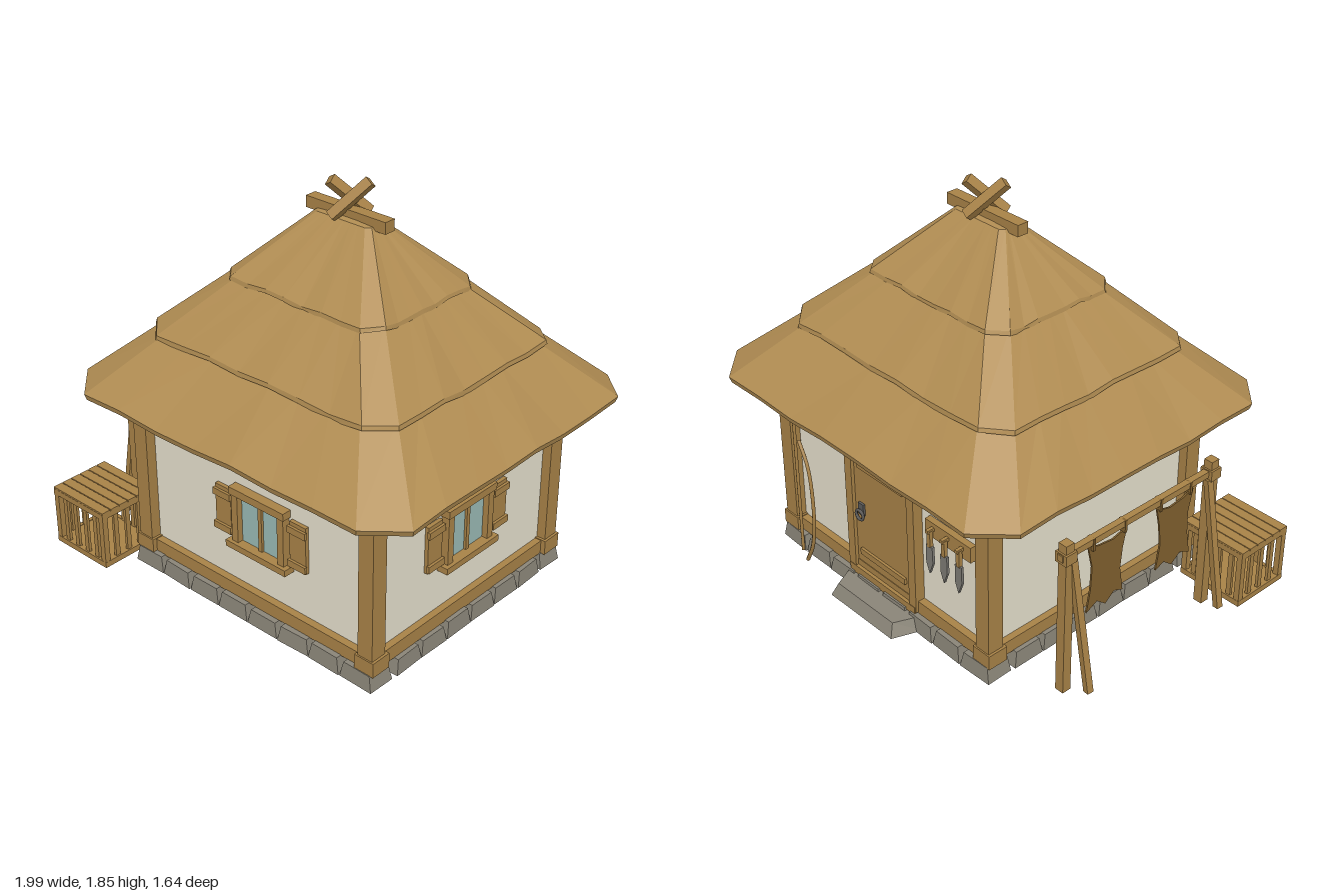
import * as THREE from 'three';

const mat = (name, color, extra = {}) => new THREE.MeshStandardMaterial({ name, color, ...extra });
const FORWARD = new THREE.Vector3(0, 0, 1);

export function createModel() {
  const wood = mat('wood', 0xa88247);
  const thatch = mat('thatch', 0xb08c52, { flatShading: true });
  const plaster = mat('plaster', 0xe6e0cd);
  const stone = mat('stone', 0x8a8578, { flatShading: true });
  const glass = mat('glass', 0x9abab5);
  const iron = mat('iron', 0x5c5b5a);
  const steel = mat('steel', 0x7c7a74, { flatShading: true });
  const hide = mat('hide', 0x80602f, { side: THREE.DoubleSide });

  const model = new THREE.Group();
  model.name = 'thatchedHut';
  const group = (parent, name, x = 0, y = 0, z = 0) => {
    const g = new THREE.Group();
    g.name = name;
    g.position.set(x, y, z);
    parent.add(g);
    return g;
  };
  const add = (parent, name, geo, m, x = 0, y = 0, z = 0) => {
    const mesh = new THREE.Mesh(geo, m);
    mesh.name = name;
    mesh.position.set(x, y, z);
    parent.add(mesh);
    return mesh;
  };
  const box = (parent, name, m, w, h, d, x, y, z) =>
    add(parent, name, new THREE.BoxGeometry(w, h, d), m, x, y, z);
  // Square bar running between two points
  const bar = (parent, name, m, a, b, t) => {
    const p = new THREE.Vector3(...a), q = new THREE.Vector3(...b);
    const mesh = box(parent, name, m, t, t, p.distanceTo(q), 0, 0, 0);
    mesh.quaternion.setFromUnitVectors(FORWARD, q.clone().sub(p).normalize());
    mesh.position.copy(p).add(q).multiplyScalar(0.5);
  };
  const shape = pts => new THREE.Shape(pts.map(p => new THREE.Vector2(...p)));
  const plate = (pts, depth) => new THREE.ExtrudeGeometry(shape(pts), { depth, bevelEnabled: false });
  const wobble = (i, s) => Math.sin(i * 2.3 + s) * 0.6 + Math.sin(i * 1.1 + s * 3) * 0.4;

  const hut = group(model, 'hut', 0.077, 0, 0);

  // Floor and foundation stones
  box(hut, 'floor', wood, 1.28, 0.05, 1.14, 0, 0.055, 0);
  box(hut, 'floorSlab', stone, 1.0, 0.03, 1.1, 0.12, 0.03, 0);
  const foundation = group(hut, 'foundation');
  const addStone = (x, z, w, turn, s) => {
    const h = 0.074 + 0.004 * wobble(s, 1), d = 0.13;
    const geo = new THREE.BoxGeometry(w, h, d);
    const p = geo.attributes.position;
    for (let i = 0; i < p.count; i++) {
      if (p.getY(i) > 0) {
        p.setX(i, p.getX(i) * 0.82);
        p.setZ(i, p.getZ(i) * 0.88);
      }
    }
    add(foundation, 'foundationStone', geo, stone, x, h / 2, z).rotation.y = turn + 0.04 * wobble(s, 2);
  };
  for (const side of [1, -1]) {
    for (let i = 0; i < 8; i++) addStone(-0.617 + i * 0.176, side * 0.578, 0.172, 0, i + side * 3);
    for (let i = 1; i < 7; i++) addStone(side * 0.64, -0.575 + i * 0.164, 0.16, Math.PI / 2, i + side * 7);
  }

  // Walls and timber frame
  box(hut, 'walls', plaster, 1.29, 0.82, 1.15, 0, 0.48, 0);
  for (const sx of [1, -1]) for (const sz of [1, -1]) {
    box(hut, 'cornerPost', wood, 0.077, 0.83, 0.08, sx * 0.65, 0.48, sz * 0.585);
    box(hut, 'sillJoint', wood, 0.1, 0.07, 0.1, sx * 0.65, 0.106, sz * 0.582);
  }
  for (const s of [1, -1]) {
    for (const [name, y, h] of [['sillBeam', 0.104, 0.065], ['topBeam', 0.875, 0.045]]) {
      box(hut, name, wood, 1.28, h, 0.07, 0, y, s * 0.575);
      box(hut, name, wood, 0.07, h, 1.14, s * 0.642, y, 0);
    }
  }

  // Thatched roof: each tier is a skirt of eight-sided rings [halfX, halfZ, chamfer, y, wobble]
  const ring = ([hx, hz, c, y, amp], seed) => {
    const corners = [[hx, c - hz], [hx, hz - c], [hx - c, hz], [c - hx, hz],
      [-hx, hz - c], [-hx, c - hz], [c - hx, -hz], [hx - c, -hz]];
    const pts = [];
    corners.forEach(([x, z], k) => {
      const [nx, nz] = corners[(k + 1) % 8];
      const n = k % 2 ? 1 : 7;
      for (let i = 0; i < n; i++) {
        const t = i / n, w = amp * wobble(pts.length, seed);
        pts.push([(x + (nx - x) * t) * (1 + w * 0.25), y + w, (z + (nz - z) * t) * (1 + w * 0.25)]);
      }
    });
    return pts;
  };
  const tier = (name, rows, seed) => {
    const rings = rows.map(r => ring(r, seed));
    const n = rings[0].length, pos = [], idx = [];
    rings.forEach(r => r.forEach(p => pos.push(...p)));
    for (let r = 0; r < rings.length - 1; r++) for (let j = 0; j < n; j++) {
      const a = r * n + j, b = r * n + (j + 1) % n;
      idx.push(a, a + n, b, b, a + n, b + n);
    }
    const geo = new THREE.BufferGeometry();
    geo.setAttribute('position', new THREE.Float32BufferAttribute(pos, 3));
    geo.setIndex(idx);
    geo.computeVertexNormals();
    add(hut, name, geo, thatch);
  };
  tier('lowerThatch', [[0.5, 0.42, 0.1, 0.91, 0], [0.91, 0.81, 0.15, 0.874, 0.013],
    [0.917, 0.817, 0.15, 0.9, 0.013], [0.64, 0.54, 0.1, 1.16, 0]], 1);
  tier('middleThatch', [[0.62, 0.52, 0.1, 1.16, 0], [0.676, 0.572, 0.1, 1.137, 0.014],
    [0.672, 0.568, 0.1, 1.157, 0.011], [0.4, 0.31, 0.07, 1.415, 0]], 2.4);
  tier('upperThatch', [[0.37, 0.28, 0.07, 1.41, 0], [0.43, 0.338, 0.07, 1.39, 0.012],
    [0.425, 0.334, 0.07, 1.408, 0.009], [0.15, 0.055, 0.02, 1.675, 0], [0.001, 0.001, 0, 1.685, 0]], 4.1);

  // Ridge beam and crossed poles
  box(hut, 'ridgeBeam', wood, 0.43, 0.052, 0.056, 0, 1.687, 0);
  const cross = group(hut, 'crossedPoles', 0.003, 1.755, 0);
  cross.rotation.y = 0.84;
  for (const s of [1, -1]) bar(cross, 'crossedPole', wood, [-s * 0.08, -0.072, s * 0.02], [s * 0.08, 0.072, s * 0.02], 0.042);

  // Windows with open shutters
  const addWindow = (x, z, turn) => {
    const g = group(hut, 'window', x, 0.475, z);
    g.rotation.y = turn;
    box(g, 'glassPane', glass, 0.24, 0.24, 0.008, 0, 0, 0.006);
    box(g, 'mullion', wood, 0.02, 0.24, 0.02, 0, 0, 0.012);
    box(g, 'lintel', wood, 0.315, 0.035, 0.05, 0, 0.133, 0.02);
    box(g, 'windowSill', wood, 0.345, 0.03, 0.06, 0, -0.13, 0.025);
    for (const s of [1, -1]) {
      box(g, 'jamb', wood, 0.035, 0.24, 0.04, s * 0.132, 0, 0.018);
      box(g, 'shutter', wood, 0.09, 0.225, 0.018, s * 0.215, 0.002, 0.012);
      for (const y of [0.08, -0.085]) box(g, 'shutterBatten', wood, 0.1, 0.032, 0.014, s * 0.215, y, 0.026);
    }
  };
  addWindow(0.043, 0.575, 0);
  addWindow(0.645, 0, Math.PI / 2);

  // Back door with battens, ring handle and stone step
  const door = group(hut, 'door', 0, 0, -0.575);
  box(door, 'doorLeaf', wood, 0.38, 0.68, 0.04, 0, 0.43, -0.012);
  box(door, 'doorLintel', wood, 0.45, 0.045, 0.065, 0, 0.79, -0.016);
  box(door, 'doorSill', wood, 0.44, 0.04, 0.07, 0, 0.085, -0.016);
  for (const s of [1, -1]) box(door, 'doorJamb', wood, 0.045, 0.7, 0.065, s * 0.205, 0.43, -0.016);
  for (const y of [0.2, 0.66]) box(door, 'doorBatten', wood, 0.3, 0.03, 0.015, 0, y, -0.037);
  box(door, 'handlePlate', iron, 0.035, 0.06, 0.012, 0.135, 0.43, -0.037);
  add(door, 'handleRing', new THREE.TorusGeometry(0.024, 0.007, 6, 12), iron, 0.135, 0.405, -0.05);
  const stepGeo = plate([[-0.26, 0], [-0.21, 0.137], [0.2, 0.14], [0.26, 0]], 0.06).rotateX(-Math.PI / 2);
  const stepPos = stepGeo.attributes.position;
  for (let i = 0; i < stepPos.count; i++) if (stepPos.getY(i) > 0.03) {
    stepPos.setX(i, stepPos.getX(i) * 0.9);
    stepPos.setZ(i, stepPos.getZ(i) * 0.8);
  }
  add(hut, 'doorStep', stepGeo, stone, 0, 0, -0.615);

  // Spear and bow leaning by the door
  const spear = group(model, 'spear', 0.62, 0, -0.652);
  add(spear, 'spearShaft', new THREE.CylinderGeometry(0.008, 0.008, 0.72, 6), wood, 0, 0.365, 0);
  add(spear, 'spearBinding', new THREE.CylinderGeometry(0.012, 0.012, 0.03, 6), hide, 0, 0.715, 0);
  add(spear, 'spearHead', new THREE.OctahedronGeometry(1), steel, 0, 0.77, 0).scale.set(0.02, 0.05, 0.012);
  const bowPath = new THREE.CatmullRomCurve3([[0.54, 0.66, -0.688], [0.475, 0.55, -0.695], [0.44, 0.34, -0.705],
    [0.465, 0.15, -0.702], [0.53, 0.02, -0.692]].map(p => new THREE.Vector3(...p)));
  add(model, 'bow', new THREE.TubeGeometry(bowPath, 20, 0.009, 6), wood);

  // Knife board
  const knives = group(model, 'knifeBoard', -0.345, 0.565, -0.575);
  box(knives, 'hangingBoard', wood, 0.28, 0.075, 0.03, 0, 0, -0.015);
  const bladePoints = [[-0.02, 0], [-0.022, -0.08], [0, -0.14], [0.02, -0.09], [0.02, 0]];
  for (const x of [-0.09, 0, 0.09]) {
    box(knives, 'peg', wood, 0.016, 0.016, 0.04, x, 0.01, -0.045);
    box(knives, 'knifeHandle', wood, 0.02, 0.08, 0.018, x, -0.03, -0.048);
    add(knives, 'knifeBlade', plate(bladePoints, 0.012), steel, x, -0.066, -0.054);
  }

  // Hide drying rack on the right-hand side
  const rack = group(model, 'dryingRack', -0.848, 0, 0);
  for (const [z, top, foot] of [[-0.43, -0.405, -0.38], [0.42, 0.395, 0.42]]) {
    box(rack, 'rackPost', wood, 0.044, 0.745, 0.044, 0, 0.3725, z);
    box(rack, 'rackBinding', wood, 0.062, 0.05, 0.06, 0, 0.68, z);
    bar(rack, 'rackBrace', wood, [-0.01, 0.66, top], [-0.098, 0.018, foot], 0.03);
  }
  box(rack, 'rackRail', wood, 0.03, 0.03, 0.92, 0, 0.685, -0.005);
  const pelt = [[-0.11, 0.15], [-0.03, 0.13], [0.05, 0.14], [0.11, 0.16], [0.085, 0.05], [0.09, -0.06],
    [0.11, -0.17], [0.05, -0.14], [0, -0.18], [-0.05, -0.14], [-0.1, -0.16], [-0.08, -0.04], [-0.09, 0.06]];
  for (const [z, s] of [[-0.2, 1], [0.19, -1]]) {
    add(rack, 'hangingHide', plate(pelt, 0.008), hide, -0.004, 0.5, z).rotation.y = s * Math.PI / 2;
    for (const o of [-0.09, 0.09]) box(rack, 'hideTie', hide, 0.036, 0.06, 0.012, 0, 0.67, z + o);
  }

  // Slatted crate
  const crate = group(model, 'crate', -0.832, 0, 0.643);
  box(crate, 'crateBottom', wood, 0.32, 0.02, 0.28, 0, 0.022, 0);
  for (let i = 0; i < 6; i++) box(crate, 'crateLidPlank', wood, 0.334, 0.018, 0.046, 0, 0.285, -0.126 + i * 0.0504);
  for (const s of [1, -1]) {
    for (const y of [0.02, 0.272]) {
      box(crate, 'crateRail', wood, 0.33, 0.028, 0.018, 0, y, s * 0.141);
      box(crate, 'crateRail', wood, 0.018, 0.028, 0.3, s * 0.158, y, 0);
    }
    for (const t of [1, -1]) box(crate, 'cratePost', wood, 0.028, 0.285, 0.028, s * 0.152, 0.148, t * 0.135);
    for (const t of [-1.5, -0.5, 0.5, 1.5]) box(crate, 'crateSlat', wood, 0.024, 0.26, 0.014, t * 0.067, 0.148, s * 0.136);
    for (const t of [-1, 0, 1]) box(crate, 'crateSlat', wood, 0.014, 0.26, 0.024, s * 0.152, 0.148, t * 0.068);
  }
  return model;
}
